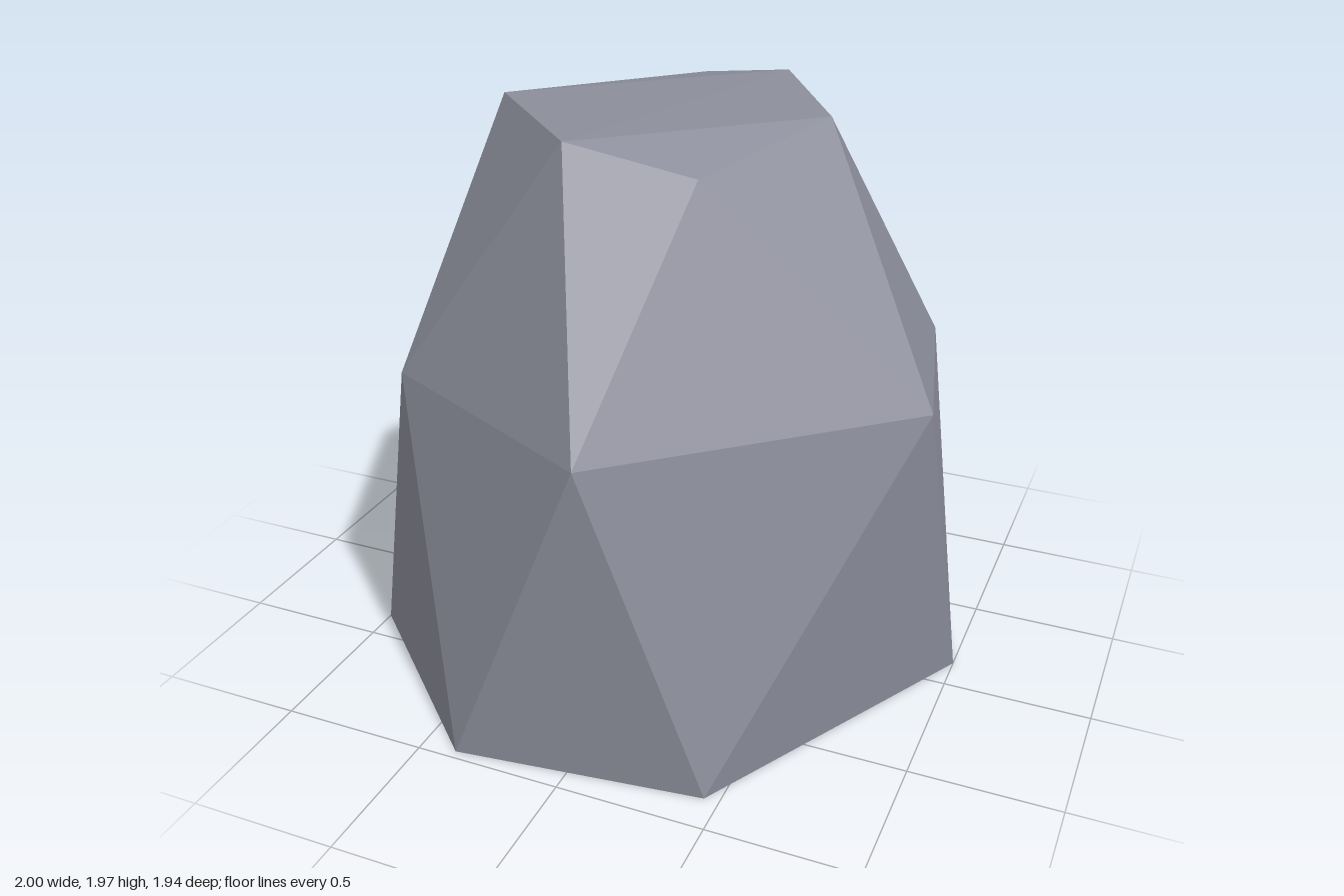
import * as THREE from 'three';

export function createModel() {
  const stone = new THREE.MeshStandardMaterial({ color: 0x8b8d9a, flatShading: true });
  stone.name = 'greyStone';

  // Three seven-sided rings of [x, y, z], counter-clockwise seen from above;
  // the middle ring is turned half a step, so the sides become triangles
  const base = [[-0.38, 0, 0.97], [0.45, 0, 0.87], [1, 0, -0.13], [0.76, 0, -0.73],
    [-0.26, 0, -0.97], [-1, 0, -0.25], [-1, 0, 0.38]];
  const middle = [[0.07, 0.96], [0.93, 0.2], [0.77, -0.47], [0.36, -0.94],
    [-0.58, -0.78], [-0.91, -0.02], [-0.74, 0.56]].map(([x, z]) => [x, 1.12, z]);
  const top = [[-0.13, 1.96, 0.56], [0.25, 1.86, 0.45], [0.49, 1.945, -0.05], [0.2, 1.965, -0.49],
    [-0.13, 1.91, -0.57], [-0.52, 1.88, -0.14], [-0.55, 1.96, 0.13]];

  const points = [];
  const tri = (a, b, c) => points.push(...a, ...b, ...c);
  const n = base.length;

  // Faceted sides
  for (let i = 0; i < n; i++) {
    const next = (i + 1) % n, prev = (i + n - 1) % n;
    tri(base[i], base[next], middle[i]);
    tri(middle[prev], base[i], middle[i]);
    tri(middle[prev], middle[i], top[i]);
    tri(middle[i], top[next], top[i]);
  }
  // Flat underside
  for (let i = 1; i < n - 1; i++) tri(base[0], base[i + 1], base[i]);
  // Crown with chipped corners
  for (const [a, b, c] of [[0, 1, 2], [0, 2, 3], [0, 3, 6], [3, 4, 6], [4, 5, 6]]) tri(top[a], top[b], top[c]);

  const geometry = new THREE.BufferGeometry();
  geometry.setAttribute('position', new THREE.Float32BufferAttribute(points, 3));
  geometry.computeVertexNormals();

  const rock = new THREE.Mesh(geometry, stone);
  rock.name = 'rock';
  const group = new THREE.Group();
  group.name = 'boulder';
  group.add(rock);
  return group;
}
